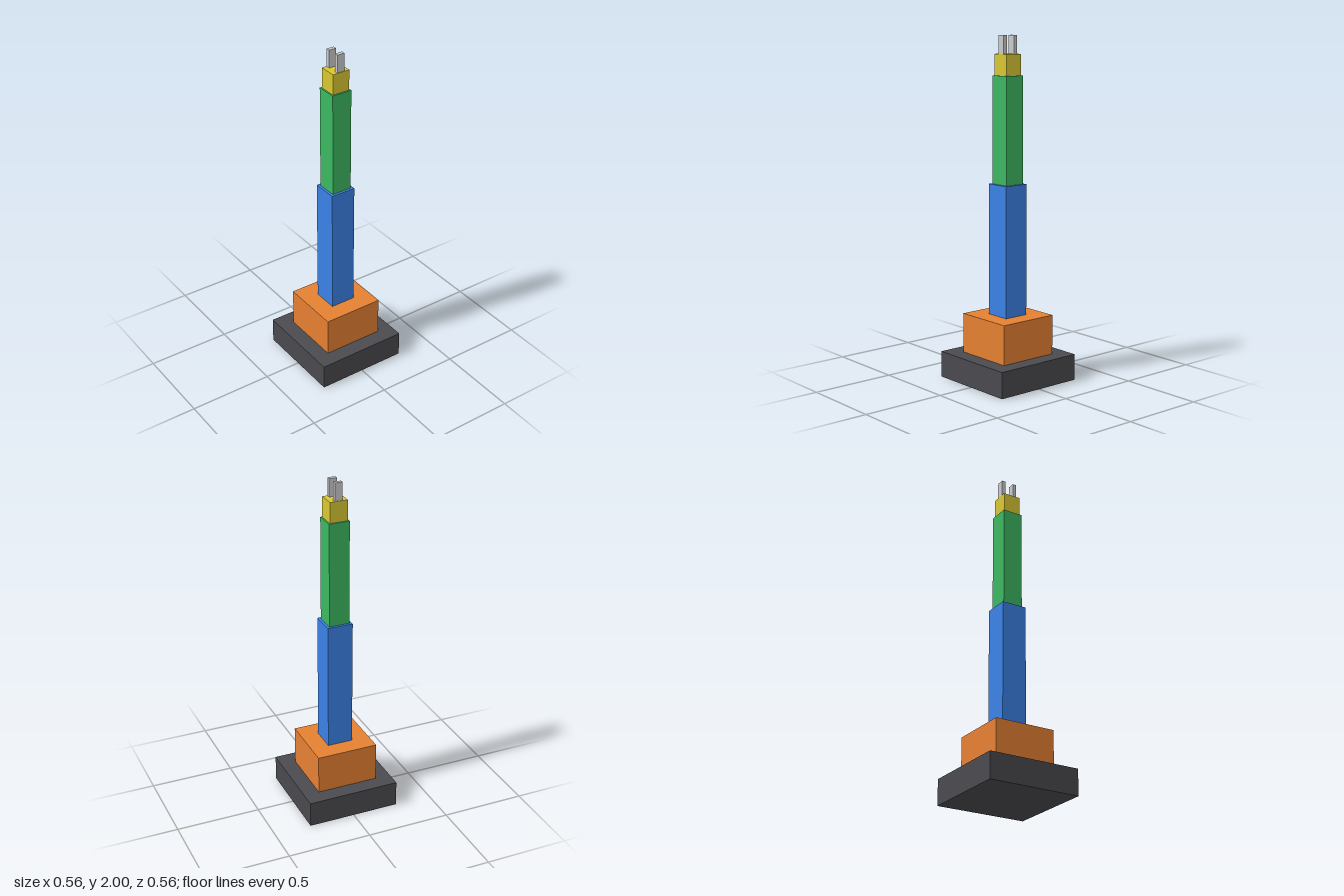
import * as THREE from 'three';

export function createModel() {
  const model = new THREE.Group();
  model.name = 'roboticArm';

  // Box standing on height y0 and reaching y1
  function block(name, width, depth, y0, y1, color, z = 0) {
    const mesh = new THREE.Mesh(
      new THREE.BoxGeometry(width, y1 - y0, depth),
      new THREE.MeshStandardMaterial({ color })
    );
    mesh.name = name;
    mesh.position.set(0, (y0 + y1) / 2, z);
    model.add(mesh);
  }

  // Stacked square sections: name, side, bottom, top, colour
  const sections = [
    ['base', 0.555, 0, 0.154, 0x4a4a4f],
    ['turntable', 0.369, 0.154, 0.387, 0xe68033],
    ['lowerArm', 0.153, 0.387, 1.155, 0x3b82e6],
    ['upperArm', 0.123, 1.155, 1.774, 0x3cb861],
    ['wrist', 0.106, 1.774, 1.895, 0xd9c733],
  ];
  for (const [name, side, y0, y1, color] of sections) block(name, side, side, y0, y1, color);

  // Gripper: two flat fingers facing each other along z
  for (const s of [1, -1]) {
    block(s > 0 ? 'frontFinger' : 'backFinger', 0.046, 0.023, 1.895, 2, 0xcccccc, s * 0.038);
  }

  return model;
}
